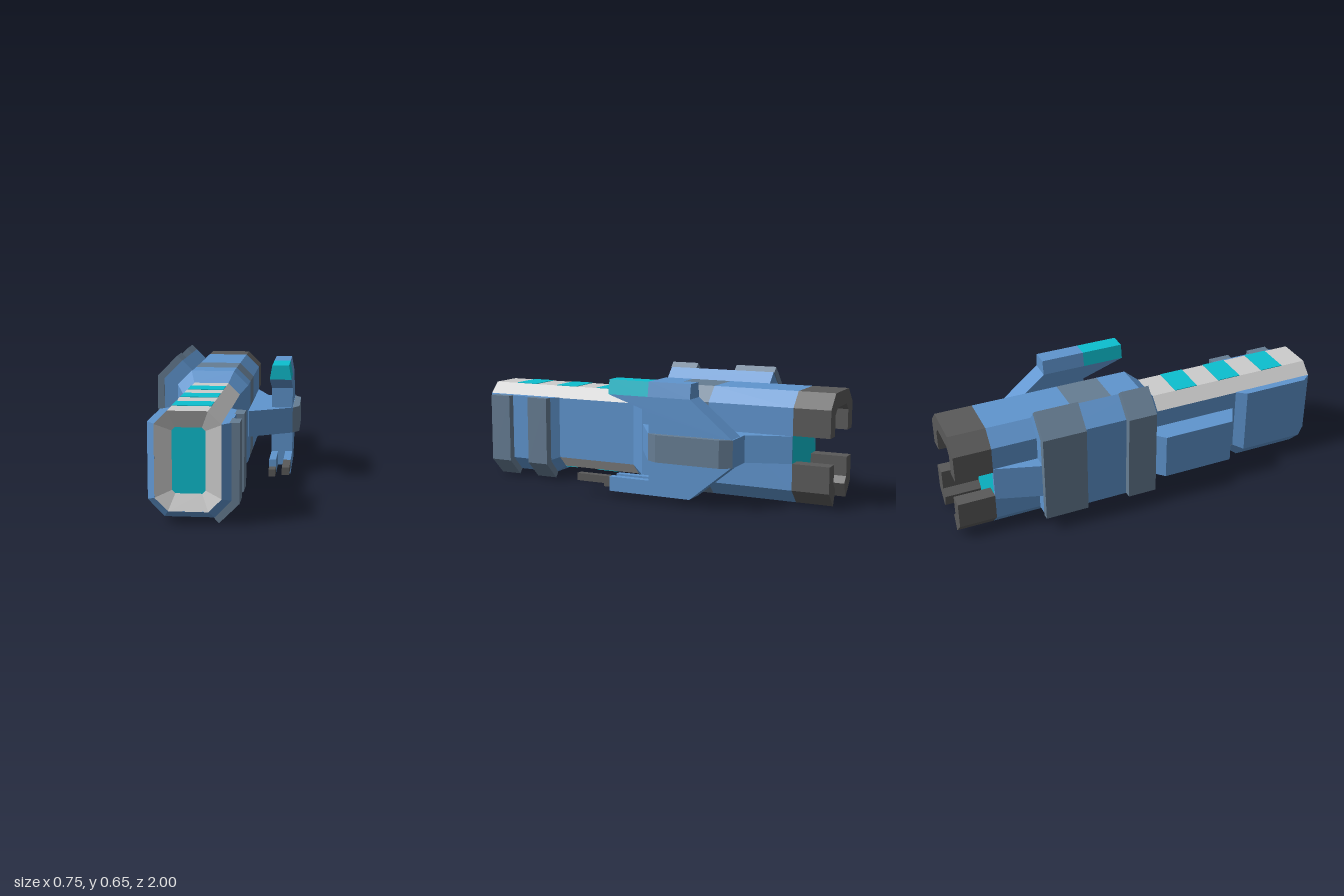
import * as THREE from 'three';

const paint = (name, color) => {
  const m = new THREE.MeshStandardMaterial({ color });
  m.name = name;
  return m;
};

export function createModel() {
  const root = new THREE.Group();
  root.name = 'armCannon';
  const blue = paint('blue', 0x5f95cf);
  const slate = paint('slate', 0x667d93);
  const dark = paint('darkGrey', 0x5a5a5a);
  const grey = paint('lightGrey', 0xcccccc);
  const teal = paint('teal', 0x0cbfd0);
  const CX = -0.08; // centre line of the cannon

  const add = (name, geo, mat) => {
    const mesh = new THREE.Mesh(geo, mat);
    mesh.name = name;
    root.add(mesh);
    return mesh;
  };
  const box = (name, mat, x0, x1, y0, y1, z0, z1) =>
    add(name, new THREE.BoxGeometry(x1 - x0, y1 - y0, z1 - z0)
      .translate((x0 + x1) / 2, (y0 + y1) / 2, (z0 + z1) / 2), mat);

  // Prism helpers: extrude an outline along one axis
  const extrude = (pts, depth) => new THREE.ExtrudeGeometry(
    new THREE.Shape(pts.map(([x, y]) => new THREE.Vector2(x, y))), { depth, bevelEnabled: false });
  const prismZ = (name, mat, xy, z0, z1) => add(name, extrude(xy, z1 - z0).translate(0, 0, z0), mat);
  const prismY = (name, mat, xz, y0, y1) => add(name,
    extrude(xz.map(([x, z]) => [x, -z]), y1 - y0).rotateX(-Math.PI / 2).translate(0, y0, 0), mat);
  const prismX = (name, mat, zy, x0, x1) => add(name,
    extrude(zy.map(([z, y]) => [-z, y]), x1 - x0).rotateY(Math.PI / 2).translate(x0, 0, 0), mat);

  // Chamfered rectangle, counter-clockwise seen from +z, starting with the +x side
  const octagon = (hx, y0, y1, c, cx = CX) => [
    [hx, y0 + c], [hx, y1 - c], [hx - c, y1], [c - hx, y1],
    [-hx, y1 - c], [-hx, y0 + c], [c - hx, y0], [hx - c, y0],
  ].map(([x, y]) => [x + cx, y]);

  // Skin between equal-length cross-sections [z, points]; caps are optional
  const loft = (name, mat, rings, { back, front } = {}) => {
    const pos = [], geo = new THREE.BufferGeometry(), mats = [];
    const tri = (m, ...corners) => {
      const start = pos.length / 3;
      corners.forEach((p) => pos.push(...p));
      if (!mats.includes(m)) mats.push(m);
      geo.addGroup(start, 3, mats.indexOf(m));
    };
    const pts = rings.map(([z, ring]) => ring.map(([x, y]) => [x, y, z]));
    const n = pts[0].length;
    for (let r = 0; r < pts.length - 1; r++) {
      for (let i = 0; i < n; i++) {
        const j = (i + 1) % n, a = pts[r][i], b = pts[r][j], c = pts[r + 1][j], d = pts[r + 1][i];
        const m = typeof mat === 'function' ? mat(r, i) : mat;
        tri(m, a, b, c);
        tri(m, a, c, d);
      }
    }
    const first = pts[0], last = pts[pts.length - 1];
    for (let i = 1; i < n - 1; i++) {
      if (back) tri(back, first[0], first[i + 1], first[i]);
      if (front) tri(front, last[0], last[i], last[i + 1]);
    }
    geo.setAttribute('position', new THREE.Float32BufferAttribute(pos, 3));
    geo.computeVertexNormals();
    return add(name, geo, mats);
  };

  // Main hull with a flush slate band, tapering onto the barrel
  const hullRing = octagon(0.188, 0.01, 0.573, 0.075);
  const barrelRing = octagon(0.15, 0.066, 0.518, 0.06);
  loft('hull', (r) => (r === 1 ? slate : blue), [
    [-0.81, hullRing], [-0.36, hullRing], [-0.14, hullRing], [0.02, hullRing], [0.09, barrelRing],
  ], { back: teal });

  // Rear frame: top bridge and two lower claws
  const arch = [[0.188, 0.36], [0.188, 0.498], [0.113, 0.573]];
  const archIn = [[0.08, 0.498], [0.113, 0.465], [0.113, 0.36]];
  const half = [...arch, ...archIn];
  const flip = (pts) => pts.map(([x, y]) => [-x, y]).reverse();
  const centred = (pts) => pts.map(([x, y]) => [x + CX, y]);
  prismZ('rearTopFrame', dark, centred([
    ...half.slice(0, 3), ...flip(half.slice(0, 3)), ...flip(half.slice(3)), ...half.slice(3),
  ]), -1, -0.81);
  const claw = [[0.188, 0.22], [0.188, 0.085], [0.113, 0.01], [0.08, 0.085], [0.113, 0.118], [0.113, 0.22]];
  prismZ('rearLeftClaw', dark, centred(claw), -1, -0.81);
  prismZ('rearRightClaw', dark, centred(flip(claw)), -1, -0.81);

  // Barrel with blue flanks and a recessed glowing muzzle
  loft('barrel', (r, i) => (i % 4 === 0 ? blue : grey), [[0, barrelRing], [1, barrelRing]]);
  loft('muzzle', grey, [[1, barrelRing], [0.97, octagon(0.075, 0.142, 0.44, 0.015)]], { front: teal });
  for (const z of [0.22, 0.475, 0.735]) {
    box('topStripe', teal, -0.17, 0.01, 0.515, 0.521, z, z + 0.127);
    box('bottomStripe', teal, -0.17, 0.01, 0.063, 0.069, z, z + 0.127);
  }

  // U-shaped shroud under the front of the barrel
  const cradle = (hx, low, c, y0) => [[-hx, 0.46], [-hx, low], [c - hx, y0], [hx - c, y0], [hx, low], [hx, 0.46]]
    .map(([x, y]) => [x + CX, y]);
  const inner = cradle(0.148, 0.127, 0.06, 0.068).reverse();
  const thin = [...cradle(0.15, 0.126, 0.06, 0.066), ...inner];
  const thick = [...cradle(0.188, 0.108, 0.075, 0.03), ...inner];
  loft('shroud', blue, [[0.55, thin], [0.6, thick], [0.95, thick], [1, thin]]);

  // Slate ribs on the left of the shroud
  for (const z of [0.59, 0.83]) {
    prismZ('shroudRib', slate, [[0.1, 0.46], [0.145, 0.46], [0.145, 0.095], [0.052, 0.003],
      [0.028, 0.03], [0.1, 0.105]], z, z + 0.12);
  }

  // Right side box beside the barrel
  prismY('sideBox', blue, [[-0.225, 0.54], [-0.345, 0.47], [-0.345, 0.09], [-0.265, 0.01], [-0.225, 0.01]],
    0.125, 0.365);

  // Right armour slab with two slate straps and a rear wedge
  prismZ('armourSlab', blue, [[-0.34, 0.082], [-0.34, 0.53], [-0.243, 0.626], [-0.19, 0.573],
    [-0.19, 0.56], [-0.25, 0.49], [-0.25, 0.082]], -0.58, 0.012);
  for (const [z0, z1] of [[-0.585, -0.36], [-0.135, 0.016]]) {
    prismZ('armourStrap', slate, [[-0.376, 0.082], [-0.376, 0.545], [-0.27, 0.652], [-0.243, 0.626],
      [-0.34, 0.53], [-0.34, 0.082]], z0, z1);
  }
  prismY('rightWedge', blue, [[-0.25, -0.81], [-0.268, -0.81], [-0.34, -0.58], [-0.25, -0.58]], 0.2, 0.38);

  // Left outrigger arm and its end cap
  prismY('outrigger', blue, [[0.1, -0.81], [0.112, -0.81], [0.183, -0.588], [0.34, -0.588],
    [0.34, -0.132], [0.112, 0.012], [0.1, 0.012]], 0.22, 0.358);
  prismY('outriggerCap', slate, [[0.34, -0.588], [0.375, -0.53], [0.375, -0.19], [0.34, -0.132]], 0.22, 0.358);

  // Upright fin with a bevelled ridge and glowing nose
  prismX('fin', blue, [[0.09, 0.54], [-0.135, 0.465], [-0.135, 0.04], [-0.36, 0.04],
    [-0.585, 0.225], [-0.585, 0.355], [-0.36, 0.54]], 0.226, 0.339);
  const ridge = [[0.226, 0.54], [0.339, 0.54], [0.326, 0.615], [0.239, 0.615]];
  loft('finRidge', blue, [[-0.36, ridge], [-0.13, ridge]], { back: blue });
  loft('finNose', teal, [[-0.13, ridge], [0.092, ridge]], { front: teal });

  // Twin rails with short gun barrels below the fin
  box('innerRail', blue, 0.226, 0.262, 0.04, 0.115, -0.14, 0.09);
  box('outerRail', blue, 0.301, 0.339, 0.04, 0.115, -0.14, 0.09);
  box('innerGun', dark, 0.226, 0.262, 0.04, 0.077, 0.09, 0.165);
  box('outerGun', dark, 0.301, 0.339, 0.077, 0.115, 0.09, 0.28);

  return root;
}
